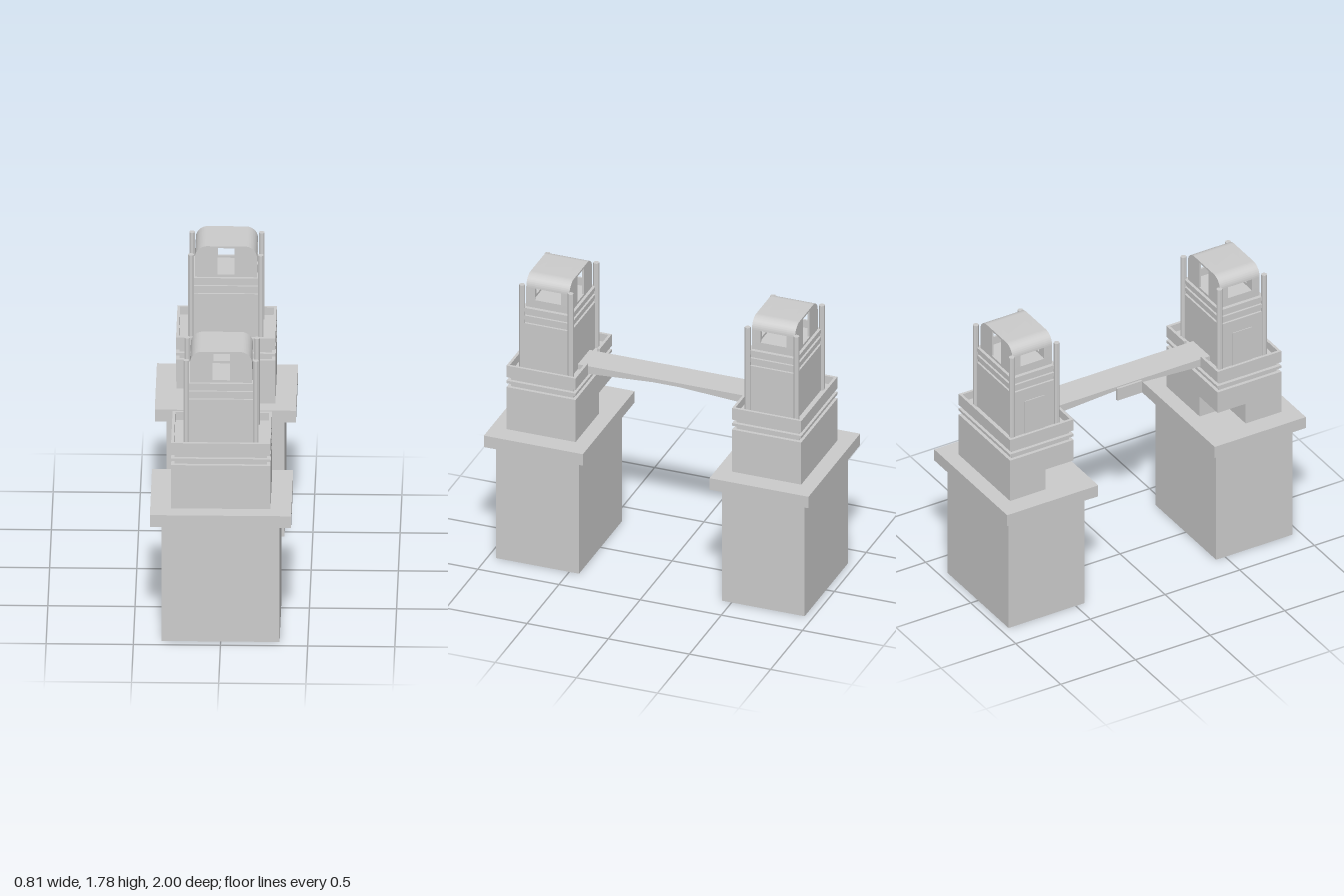
import * as THREE from 'three';
import { toCreasedNormals } from 'three/addons/utils/BufferGeometryUtils.js';

const grey = new THREE.MeshStandardMaterial({ color: 0xcccccc });
const greyDouble = new THREE.MeshStandardMaterial({ color: 0xcccccc, side: THREE.DoubleSide });

// Box given by its extents on each axis
function block(parent, name, [x0, x1], [y0, y1], [z0, z1], mat = grey) {
  const mesh = new THREE.Mesh(new THREE.BoxGeometry(x1 - x0, y1 - y0, Math.abs(z1 - z0)), mat);
  mesh.position.set((x0 + x1) / 2, (y0 + y1) / 2, (z0 + z1) / 2);
  mesh.name = name;
  parent.add(mesh);
  return mesh;
}

// Box centred on the tower axis, by half sizes
const tier = (parent, name, hx, y0, y1, hz) =>
  block(parent, name, [-hx, hx], [y0, y1], [-hz, hz]);

// Extrusion of an x-y shape between two z values
function slice(parent, name, shape, z0, z1) {
  const geo = new THREE.ExtrudeGeometry(shape, { depth: z1 - z0, bevelEnabled: false, curveSegments: 10 });
  const mesh = new THREE.Mesh(toCreasedNormals(geo, 0.5), grey);
  mesh.position.z = z0;
  mesh.name = name;
  parent.add(mesh);
}

// Round-shouldered outline
function arch(path, hx, y0, top, r) {
  path.moveTo(-hx, y0);
  path.lineTo(hx, y0);
  path.lineTo(hx, top - r);
  path.absarc(hx - r, top - r, r, 0, Math.PI / 2, false);
  path.lineTo(-hx + r, top);
  path.absarc(-hx + r, top - r, r, Math.PI / 2, Math.PI, false);
  path.closePath();
  return path;
}

// Upside-down U band, open at the bottom
function band(y0) {
  const hx = 0.178, top = 1.785, r = 0.07, t = 0.012;
  const s = new THREE.Shape();
  s.moveTo(hx, y0);
  s.lineTo(hx, top - r);
  s.absarc(hx - r, top - r, r, 0, Math.PI / 2, false);
  s.lineTo(-hx + r, top);
  s.absarc(-hx + r, top - r, r, Math.PI / 2, Math.PI, false);
  s.lineTo(-hx, y0);
  s.lineTo(-hx + t, y0);
  s.lineTo(-hx + t, top - r);
  s.absarc(-hx + r, top - r, r - t, Math.PI, Math.PI / 2, true);
  s.lineTo(hx - r, top - t);
  s.absarc(hx - r, top - r, r - t, Math.PI / 2, 0, true);
  s.lineTo(hx - t, y0);
  s.closePath();
  return s;
}

// Hollow lantern with windows on all four sides
function lantern() {
  const g = new THREE.Group();
  g.name = 'lantern';
  const wall = arch(new THREE.Shape(), 0.178, 1.59, 1.785, 0.07);
  const hole = new THREE.Path();
  hole.moveTo(-0.05, 1.605);
  hole.lineTo(-0.05, 1.773);
  hole.lineTo(0.05, 1.773);
  hole.lineTo(0.05, 1.605);
  hole.closePath();
  wall.holes.push(hole);
  for (const s of [-1, 1]) {
    const [a, b] = s < 0 ? [-0.133, -0.121] : [0.121, 0.133];
    slice(g, 'windowWall', wall, a, b);
    const [c, d] = s < 0 ? [-0.121, -0.08] : [0.08, 0.121];
    slice(g, 'lanternSide', band(1.59), c, d);
    const xs = s < 0 ? [-0.178, -0.166] : [0.166, 0.178];
    block(g, 'windowSill', xs, [1.59, 1.64], [-0.08, 0.08]);
  }
  slice(g, 'lanternRoof', band(1.73), -0.08, 0.08);
  return g;
}

// One tower; inner = direction along z of the side that meets the bridge
function tower(inner) {
  const g = new THREE.Group();
  g.name = inner < 0 ? 'frontTower' : 'backTower';

  // Pier, open underneath
  const pier = block(g, 'pier', [-0.338, 0.338], [0, 0.75], [-0.255, 0.255], greyDouble);
  const idx = Array.from(pier.geometry.index.array);
  idx.splice(18, 6);
  pier.geometry.setIndex(idx);
  pier.geometry.clearGroups();
  tier(g, 'pierSlab', 0.405, 0.75, 0.825, 0.305);

  // Lower storey with a recess at one inner corner
  tier(g, 'lowerStorey', 0.285, 0.96, 1.1, 0.213);
  block(g, 'lowerStoreyBase', [-0.085, 0.285], [0.825, 0.96], [-0.213, 0.213]);
  block(g, 'lowerStoreyCorner', [-0.285, -0.085], [0.825, 0.96], [-inner * 0.213, inner * 0.025]);

  // Cornice
  tier(g, 'corniceCore', 0.265, 1.1, 1.165, 0.193);
  tier(g, 'corniceRib', 0.285, 1.125, 1.142, 0.213);
  tier(g, 'terrace', 0.285, 1.165, 1.19, 0.213);

  // Parapet with a gap for the bridge
  const [p0, p1] = [1.19, 1.24];
  const zi = [inner * 0.197, inner * 0.213], zo = [-inner * 0.197, -inner * 0.213];
  block(g, 'parapetOuter', [-0.285, 0.285], [p0, p1], zo);
  block(g, 'parapetInner', [-0.285, -0.095], [p0, p1], zi);
  block(g, 'parapetInner', [0.09, 0.285], [p0, p1], zi);
  block(g, 'parapetSide', [-0.285, -0.269], [p0, p1], [-0.197, 0.197]);
  block(g, 'parapetSide', [0.269, 0.285], [p0, p1], [-0.197, 0.197]);

  // Upper storey with grooved top
  tier(g, 'upperStorey', 0.2, 1.19, 1.49, 0.15);
  for (const y of [1.49, 1.54]) {
    tier(g, 'groove', 0.187, y, y + 0.025, 0.138);
    tier(g, 'groovedRib', 0.2, y + 0.025, y + 0.05, 0.15);
  }
  block(g, 'door', [-0.205, -0.2], [1.19, 1.41], [-0.065, 0.065]);

  // Corner posts with chamfered edges
  for (const sx of [-1, 1]) for (const sz of [-1, 1]) {
    const geo = new THREE.CylinderGeometry(0.0175, 0.0175, 0.55, 8);
    geo.rotateY(Math.PI / 8);
    const post = new THREE.Mesh(toCreasedNormals(geo, 0.5), grey);
    post.position.set(sx * 0.2, 1.465, sz * 0.15);
    post.name = 'cornerPost';
    g.add(post);
  }
  g.add(lantern());
  g.position.z = -inner * 0.695;
  return g;
}

export function createModel() {
  const model = new THREE.Group();
  model.name = 'twinTowerBridge';
  model.add(tower(-1), tower(1));

  // Deck, thinner at mid-span
  const side = new THREE.Shape([
    [-0.545, 1.222], [-0.545, 1.19], [-0.482, 1.19], [-0.482, 1.172], [-0.08, 1.197],
    [0.08, 1.197], [0.482, 1.172], [0.482, 1.19], [0.545, 1.19], [0.545, 1.222],
  ].map(([z, y]) => new THREE.Vector2(z, y)));
  const geo = new THREE.ExtrudeGeometry(side, { depth: 0.185, bevelEnabled: false });
  geo.rotateY(-Math.PI / 2);
  const deck = new THREE.Mesh(geo, grey);
  deck.position.x = 0.09;
  deck.name = 'bridgeDeck';
  model.add(deck);

  // Plate hung on the side of the deck
  block(model, 'sidePlate', [-0.108, -0.095], [1.135, 1.215], [-0.083, 0.083]);
  return model;
}
